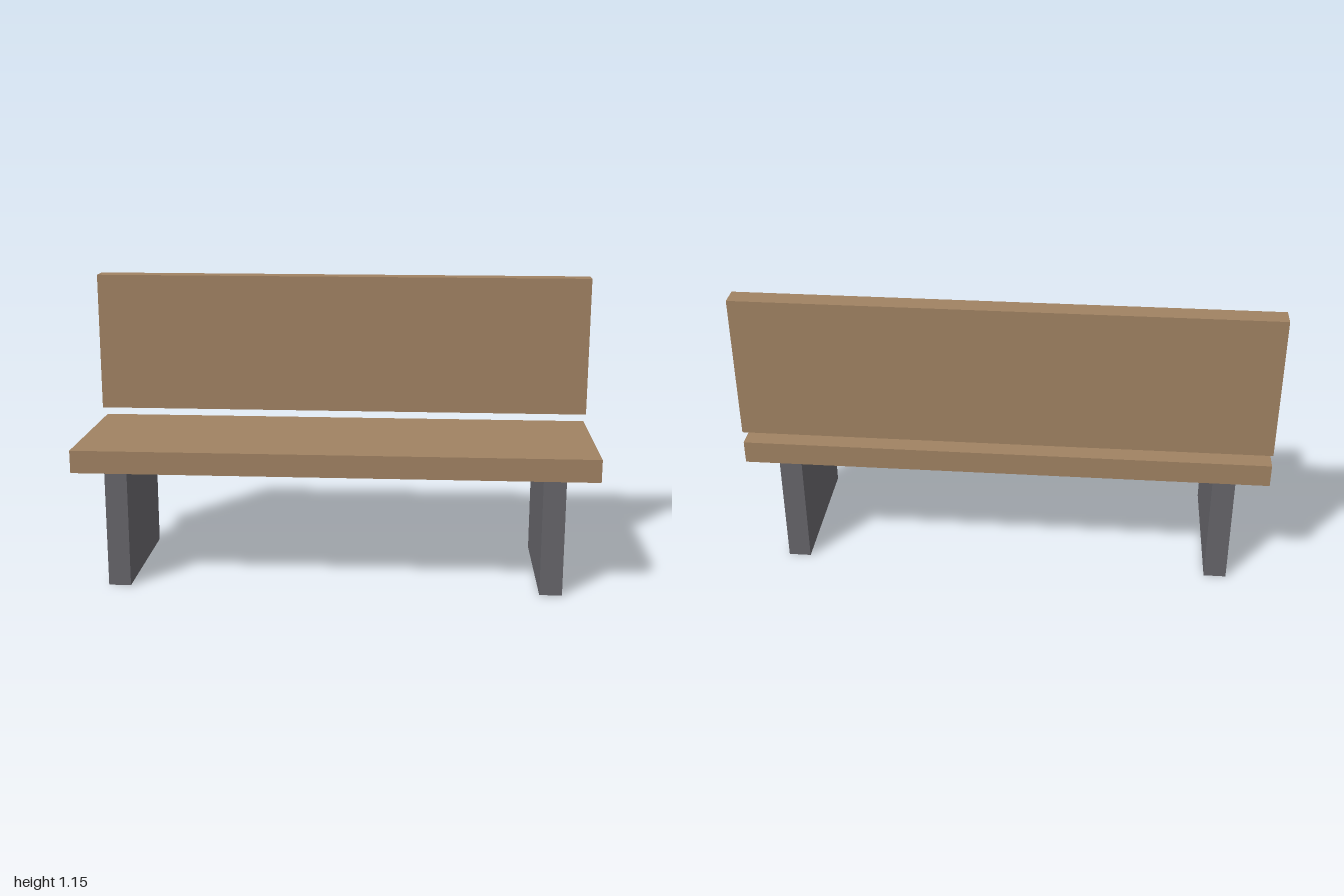
import * as THREE from 'three';

export function createModel() {
  const bench = new THREE.Group();
  bench.name = 'bench';

  const wood = new THREE.MeshStandardMaterial({ color: 0xa08262 });
  wood.name = 'wood';
  const darkGrey = new THREE.MeshStandardMaterial({ color: 0x66656a });
  darkGrey.name = 'dark grey';

  // Box given by its centre x, width, and its y and z ranges
  function slab(name, material, x, width, [y0, y1], [z0, z1]) {
    const mesh = new THREE.Mesh(new THREE.BoxGeometry(width, y1 - y0, z1 - z0), material);
    mesh.position.set(x, (y0 + y1) / 2, (z0 + z1) / 2);
    mesh.name = name;
    bench.add(mesh);
  }

  // Seat and the backrest floating just above its rear edge
  slab('seat', wood, 0, 2, [0.458, 0.546], [-0.305, 0.305]);
  slab('backrest', wood, 0, 2, [0.592, 1.147], [-0.305, -0.228]);

  // Two slab legs
  for (const side of [1, -1]) {
    slab(side > 0 ? 'leftLeg' : 'rightLeg', darkGrey, side * 0.833, 0.086, [0, 0.458], [-0.278, 0.278]);
  }

  return bench;
}
